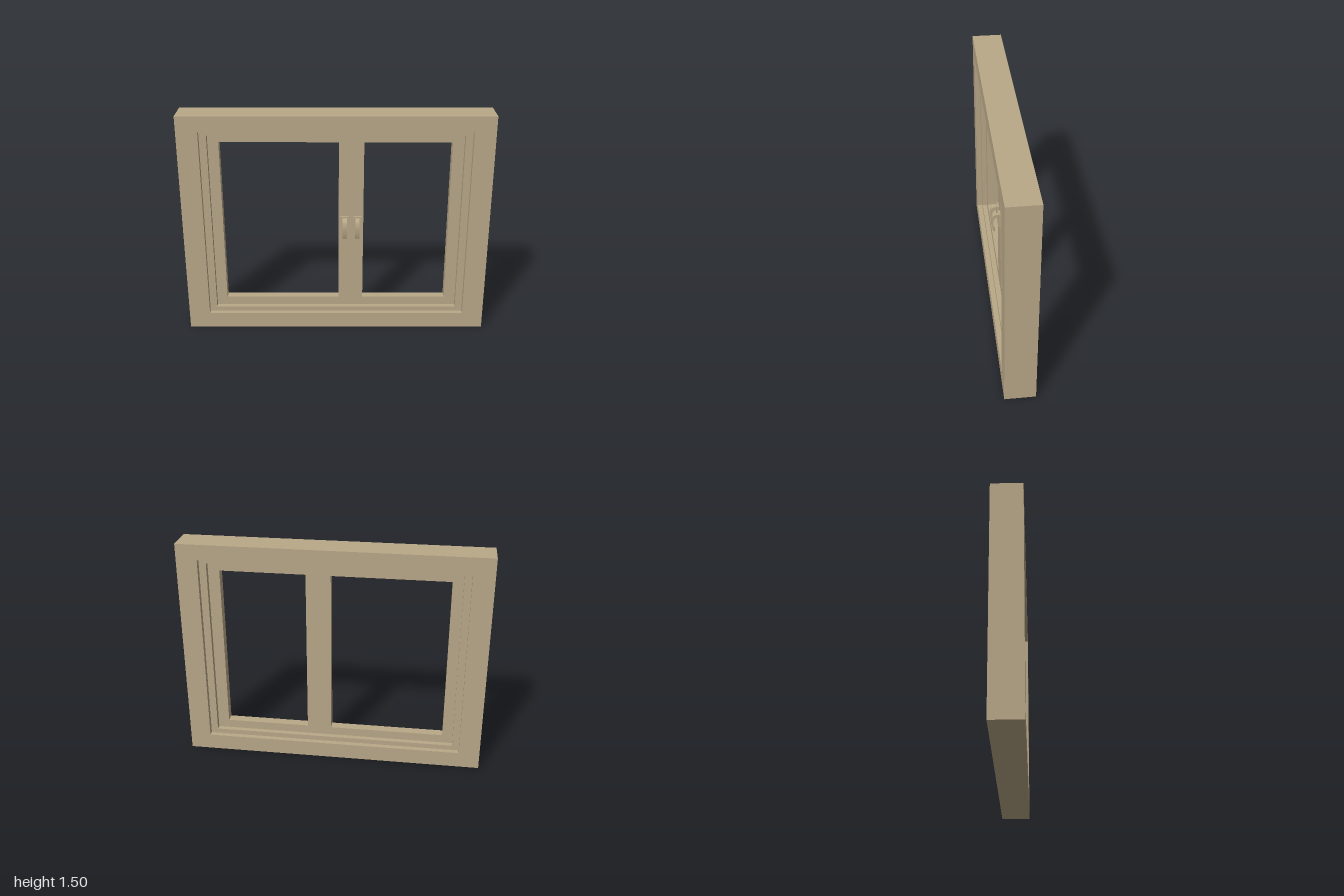
import * as THREE from 'three';

const material = new THREE.MeshStandardMaterial({ color: 0xb9a888 });

// Traces a rectangle into a Shape or Path
function rect(path, [x0, x1, y0, y1]) {
  path.moveTo(x0, y0);
  path.lineTo(x1, y0);
  path.lineTo(x1, y1);
  path.lineTo(x0, y1);
  path.closePath();
  return path;
}

function mesh(name, geometry) {
  const m = new THREE.Mesh(geometry, material);
  m.name = name;
  return m;
}

// Rectangular ring or panel with openings, centred on z = 0
function panel(name, outer, openings, depth) {
  const shape = rect(new THREE.Shape(), outer);
  for (const o of openings) shape.holes.push(rect(new THREE.Path(), o));
  const geometry = new THREE.ExtrudeGeometry(shape, { depth, bevelEnabled: false });
  geometry.translate(0, 0, -depth / 2);
  return mesh(name, geometry);
}

// Backplate with a bowed lever hanging from it; origin on the sash face
function makeHandle(name) {
  const handle = new THREE.Group();
  handle.name = name;
  const plate = mesh('handlePlate', new THREE.BoxGeometry(0.052, 0.1, 0.014));
  plate.position.z = 0.007;

  // Lever side profile: shape x becomes z (outward from the sash)
  const s = new THREE.Shape();
  s.moveTo(0.012, 0.04);
  s.lineTo(0.03, 0.04);
  s.quadraticCurveTo(0.055, 0.035, 0.058, -0.01);
  s.quadraticCurveTo(0.059, -0.055, 0.046, -0.095);
  s.lineTo(0.034, -0.092);
  s.quadraticCurveTo(0.045, -0.055, 0.043, -0.015);
  s.quadraticCurveTo(0.041, 0.012, 0.026, 0.016);
  s.lineTo(0.012, 0.016);
  s.closePath();
  const geometry = new THREE.ExtrudeGeometry(s, { depth: 0.028, bevelEnabled: false, curveSegments: 8 });
  geometry.translate(0, 0, -0.014);
  geometry.rotateY(-Math.PI / 2);
  handle.add(plate, mesh('handleLever', geometry));
  return handle;
}

export function createModel() {
  const group = new THREE.Group();
  group.name = 'window';

  const frameOpening = [-0.862, 0.862, 0.107, 1.397];
  const rebateOpening = [-0.815, 0.815, 0.14, 1.365];

  // Stepped frame, each ring thinner than the one around it
  group.add(panel('outerFrame', [-1, 1, 0, 1.5], [frameOpening], 0.2));
  group.add(panel('rebate', frameOpening, [rebateOpening], 0.13));

  // Sash panel with two openings and the stile between them
  group.add(panel('sashes', rebateOpening, [
    [-0.745, 0.018, 0.197, 1.31],
    [0.18, 0.74, 0.197, 1.31],
  ], 0.062));

  // Pair of handles on the centre stile
  [['rightHandle', 0.057], ['leftHandle', 0.141]].forEach(([name, x]) => {
    const handle = makeHandle(name);
    handle.position.set(x, 0.752, 0.031);
    group.add(handle);
  });

  return group;
}
